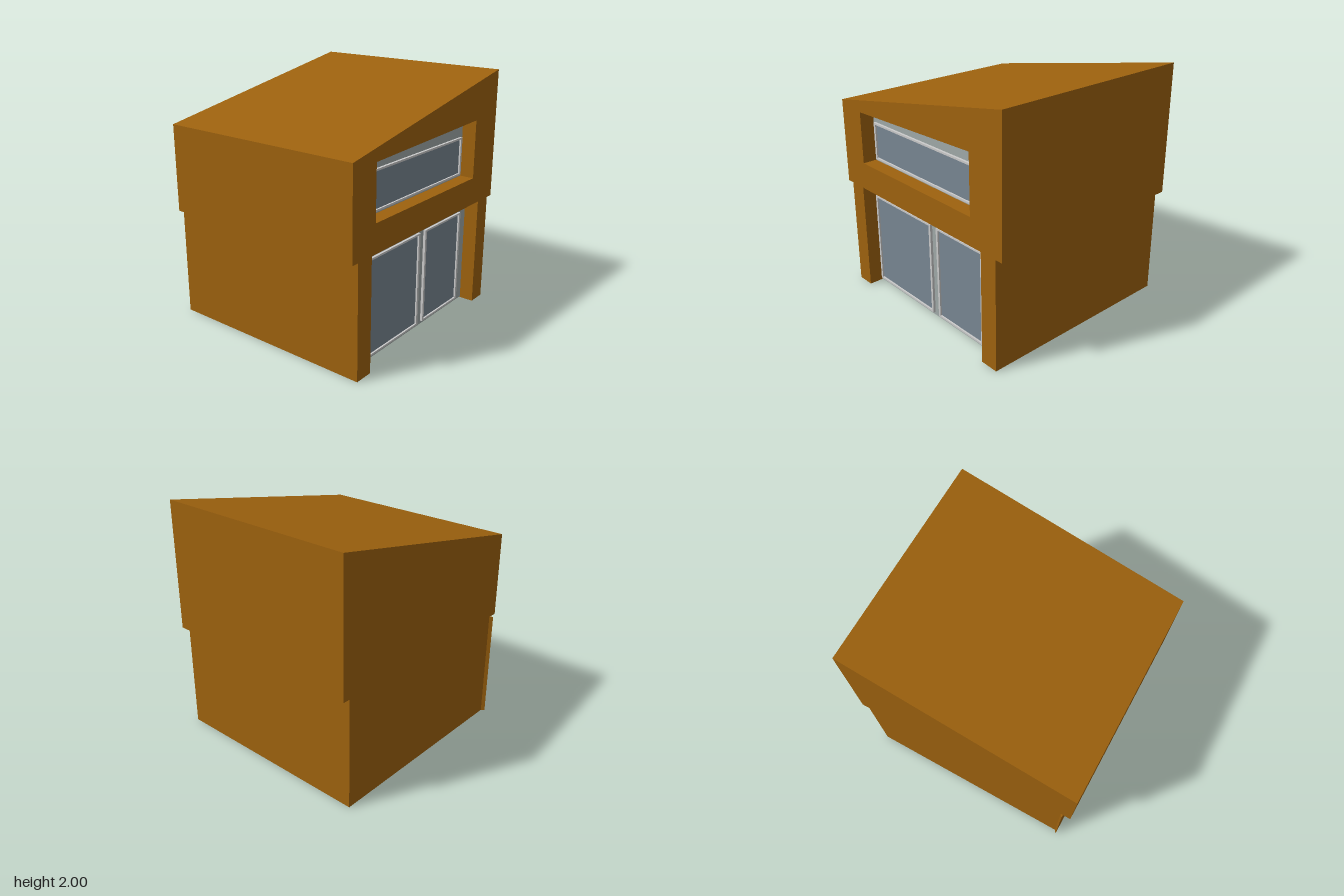
import * as THREE from 'three';

const cladding = new THREE.MeshStandardMaterial({ color: 0x9e620e });
cladding.name = 'ochre cladding';
const panelGrey = new THREE.MeshStandardMaterial({ color: 0x9fa9a8 });
panelGrey.name = 'grey panel';
const frameWhite = new THREE.MeshStandardMaterial({ color: 0xcacaca });
frameWhite.name = 'pale frame';
const glass = new THREE.MeshStandardMaterial({ color: 0x788692 });
glass.name = 'blue grey glass';

const FRONT = 0.9, RECESS = 0.78, BACK = -0.87, SPLIT = 0.92;

const outline = (points) => new THREE.Shape(points.map(([x, y]) => new THREE.Vector2(x, y)));
const rect = (x0, x1, y0, y1) => outline([[x0, y0], [x1, y0], [x1, y1], [x0, y1]]);

// Extrudes a front-facing outline between two depths
function slab(name, shape, z0, z1, material) {
  const geometry = new THREE.ExtrudeGeometry(shape, { depth: z1 - z0, bevelEnabled: false });
  geometry.translate(0, 0, z0);
  const mesh = new THREE.Mesh(geometry, material);
  mesh.name = name;
  return mesh;
}

// Glazed opening: raised ring frame with a thin pane inside
function windowUnit(name, x0, x1, y0, y1) {
  const group = new THREE.Group();
  group.name = name;
  const ring = rect(x0, x1, y0, y1);
  const t = 0.022;
  ring.holes.push(rect(x0 + t, x1 - t, y0 + t * 0.7, y1 - t * 0.7));
  group.add(slab('windowFrame', ring, RECESS, RECESS + 0.02, frameWhite));
  group.add(slab('windowPane', rect(x0 + 0.01, x1 - 0.01, y0 + 0.01, y1 - 0.01), RECESS, RECESS + 0.006, glass));
  return group;
}

export function createModel() {
  const model = new THREE.Group();
  model.name = 'house';

  // Upper storey with sloping roof: solid rear and a front layer with the window opening
  const gable = () => outline([[-0.97, SPLIT], [0.97, SPLIT], [0.97, 2], [-0.97, 1.635]]);
  const facade = gable();
  facade.holes.push(outline([[-0.71, 1.15], [0.64, 1.15], [0.64, 1.632], [-0.71, 1.585]]));
  model.add(slab('upperStorey', gable(), BACK, RECESS - 0.005, cladding));
  model.add(slab('upperFacade', facade, RECESS - 0.005, FRONT, cladding));
  model.add(slab('upperPanel', outline([[-0.71, 1.15], [0.64, 1.15], [0.64, 1.632], [-0.71, 1.585]]),
    RECESS - 0.005, RECESS, panelGrey));

  // Lower walls: U-shaped plan, open to the front, thinning at the rear corners
  const plan = [
    [0.905, FRONT], [0.75, FRONT], [0.75, -0.54], [0.885, -0.85], [-0.885, -0.85], [-0.75, -0.54],
    [-0.75, FRONT], [-0.905, FRONT], [-0.905, -0.895], [-0.885, BACK], [0.905, BACK],
  ];
  const walls = slab('lowerWalls', outline(plan.map(([x, z]) => [x, -z])), 0, SPLIT, cladding);
  walls.geometry.rotateX(-Math.PI / 2);
  model.add(walls);

  // Grey floor and recessed ground-level panel
  model.add(slab('floor', rect(-0.885, 0.885, 0.008, 0.03), -0.86, RECESS - 0.03, panelGrey));
  model.add(slab('lowerPanel', rect(-0.75, 0.75, 0.008, SPLIT), RECESS - 0.03, RECESS, panelGrey));

  // Windows
  model.add(windowUnit('upperWindow', -0.68, 0.61, 1.17, 1.485));
  model.add(windowUnit('wideWindow', -0.725, 0.03, 0.035, 0.83));
  model.add(windowUnit('narrowWindow', 0.1, 0.645, 0.035, 0.83));
  return model;
}
